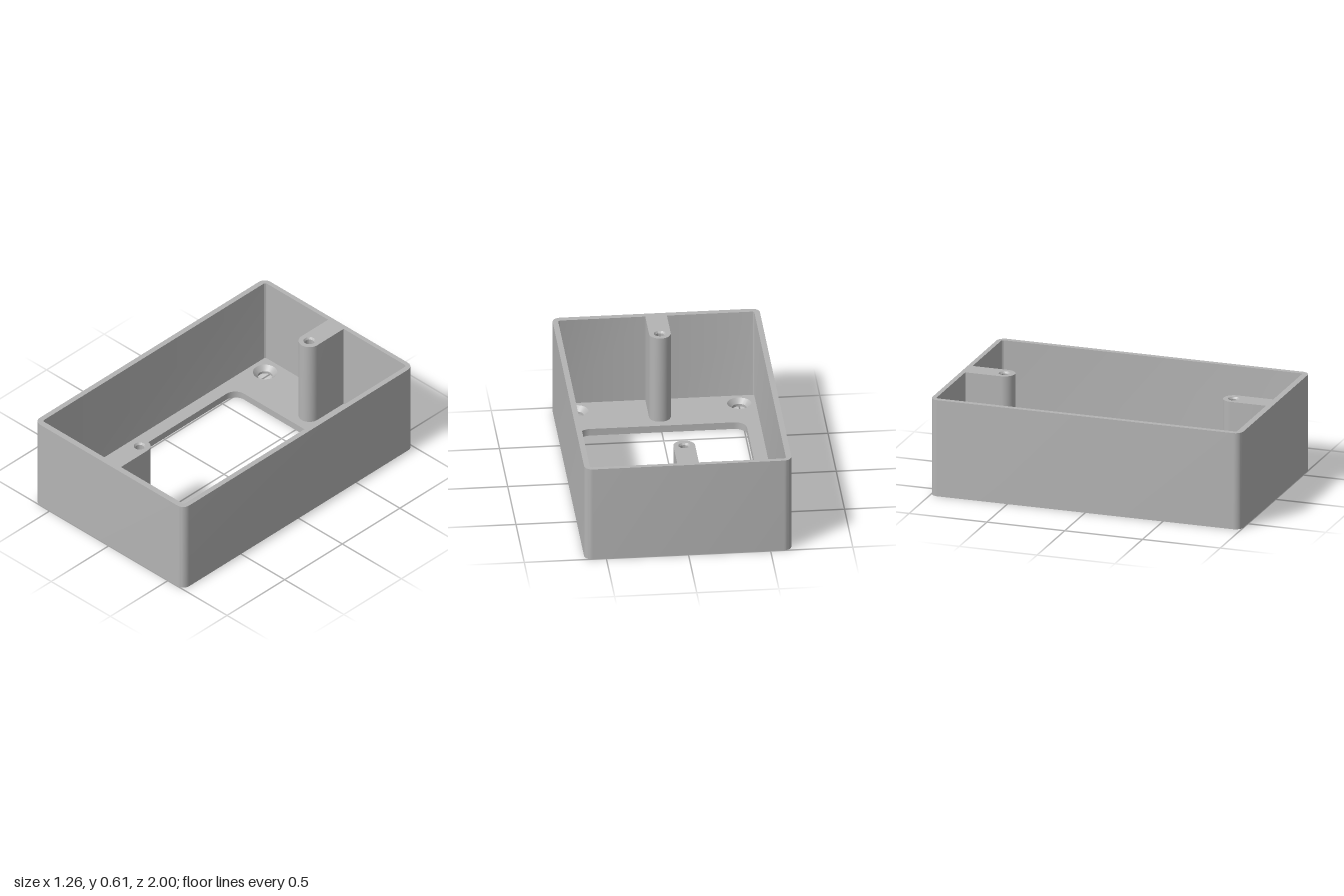
import * as THREE from 'three';
import { toCreasedNormals } from 'three/addons/utils/BufferGeometryUtils.js';

const H = 0.613, FLOOR = 0.045;
const PI = Math.PI;

// Plan outlines are lists of [x, y] with y = -z, running counter-clockwise seen from above.
function arc(cx, cy, r, from, to, n = 8) {
  return Array.from({ length: n + 1 }, (_, i) => {
    const a = from + (to - from) * i / n;
    return [cx + r * Math.cos(a), cy + r * Math.sin(a)];
  });
}
const circle = (cx, cy, r) => arc(cx, cy, r, 0, 2 * PI, 32).slice(0, 32);
function corners(w, y0, y1, r) {
  return [
    arc(-w + r, y0 + r, r, PI, 1.5 * PI), arc(w - r, y0 + r, r, 1.5 * PI, 2 * PI),
    arc(w - r, y1 - r, r, 0, 0.5 * PI), arc(-w + r, y1 - r, r, 0.5 * PI, PI),
  ];
}

// Flat face at one height with holes.
function sheet(y, outline, holes = [], down = false) {
  const toPath = (pts) => pts.map((p) => new THREE.Vector2(...p));
  const shape = new THREE.Shape(toPath(outline));
  for (const h of holes) shape.holes.push(new THREE.Path(toPath(h)));
  const g = new THREE.ShapeGeometry(shape).rotateX(-PI / 2).translate(0, y, 0);
  if (down) {
    g.index.array.reverse();
    g.computeVertexNormals();
  }
  return g;
}

// Wall between two matching outlines: faces outward going up, inward going down.
function band(a, ya, b, yb) {
  const pos = [], idx = [], n = a.length;
  for (let i = 0; i < n; i++) {
    pos.push(a[i][0], ya, -a[i][1], b[i][0], yb, -b[i][1]);
    const j = (i + 1) % n;
    idx.push(2 * i, 2 * j, 2 * j + 1, 2 * i, 2 * j + 1, 2 * i + 1);
  }
  const g = new THREE.BufferGeometry();
  g.setAttribute('position', new THREE.Float32BufferAttribute(pos, 3));
  g.setIndex(idx);
  return toCreasedNormals(g, 0.6);
}

export function createModel() {
  const group = new THREE.Group();
  const grey = new THREE.MeshStandardMaterial({ color: 0xb4b4b4 });
  grey.name = 'grey';
  const add = (name, geometry) => {
    const m = new THREE.Mesh(geometry, grey);
    m.name = name;
    group.add(m);
  };

  const outer = corners(0.631, -1, 1, 0.05).flat();
  const opening = corners(0.511, -0.614, 0.621, 0.075).flat();

  // Cavity outline, notched by the two screw posts
  const front = -0.962, back = 0.971, pw = 0.066;
  const posts = [-0.732, 0.742];
  const [fl, fr, br, bl] = corners(0.597, front, back, 0.015);
  const cavity = [
    ...fl, [-pw, front], ...arc(0, posts[0], pw, PI, 0, 20), [pw, front], ...fr,
    ...br, [pw, back], ...arc(0, posts[1], pw, 0, -PI, 20), [-pw, back], ...bl,
  ];

  // Countersunk mounting holes in the floor, blind screw holes in the posts
  const mounts = [[-0.496, -0.86], [0.496, -0.86], [0.496, 0.866], [-0.496, 0.866]];
  const sinks = mounts.map((c) => circle(...c, 0.074));
  const bores = mounts.map((c) => circle(...c, 0.045));
  const mouths = posts.map((y) => circle(0, y, 0.036));
  const pilots = posts.map((y) => circle(0, y, 0.027));

  // Box shell
  add('outerWall', band(outer, 0, outer, H));
  add('innerWallAndPosts', band(cavity, H, cavity, FLOOR));
  add('rimAndPostTops', sheet(H, outer, [cavity, ...mouths]));
  // Post tops inside the cavity notches are part of the rim outline
  add('floorTop', sheet(FLOOR, cavity, [opening, ...sinks]));
  add('floorUnderside', sheet(0, outer, [opening, ...bores], true));
  add('floorOpening', band(opening, FLOOR, opening, 0));

  mounts.forEach((_, i) => {
    add('countersink', band(sinks[i], FLOOR, bores[i], FLOOR - 0.029));
    add('mountingHole', band(bores[i], FLOOR - 0.029, bores[i], 0));
  });
  posts.forEach((_, i) => {
    add('postHoleChamfer', band(mouths[i], H, pilots[i], H - 0.012));
    add('postHole', band(pilots[i], H - 0.012, pilots[i], H - 0.3));
    add('postHoleEnd', sheet(H - 0.3, pilots[i]));
  });
  return group;
}
